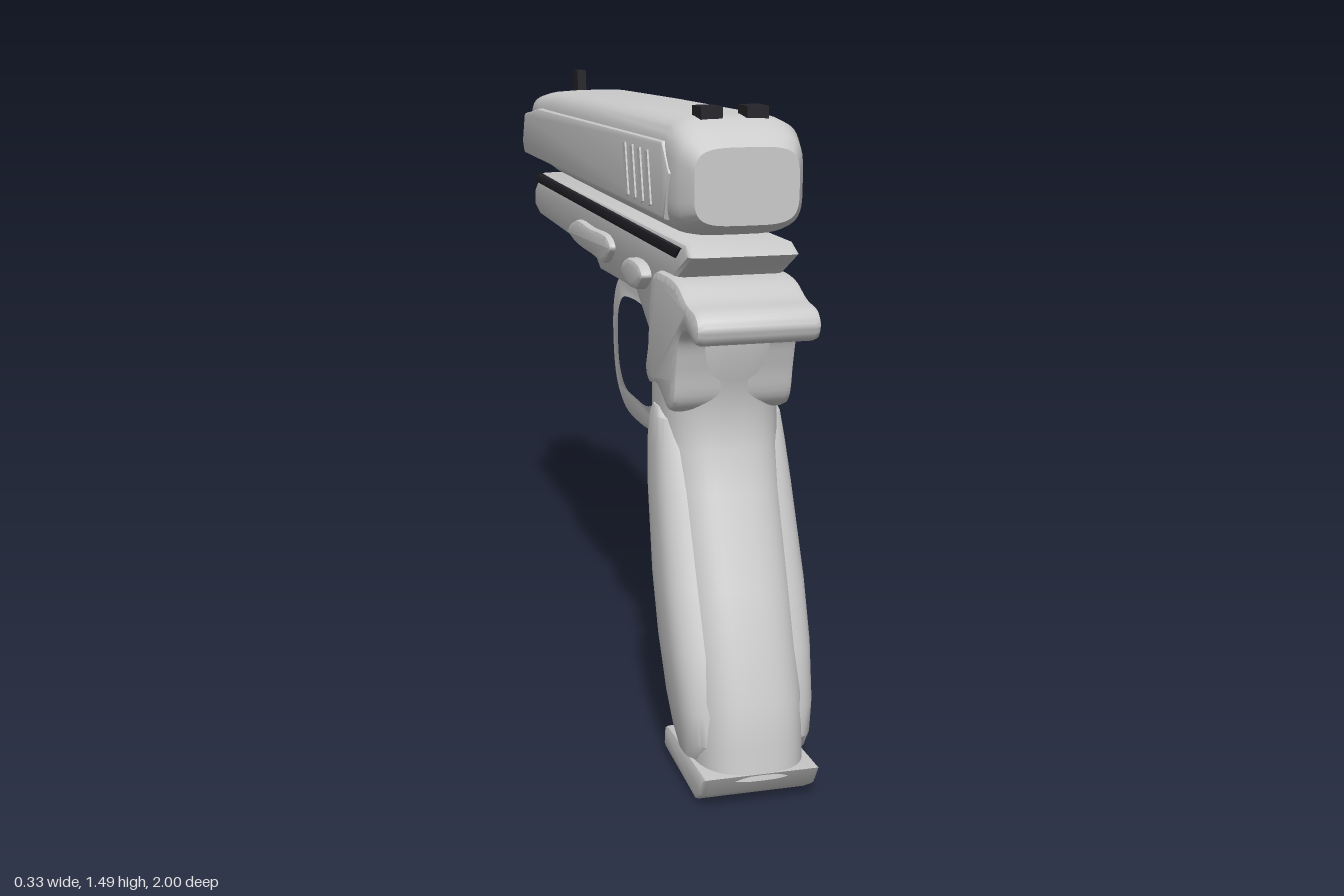
import * as THREE from 'three';
import { toCreasedNormals } from 'three/addons/utils/BufferGeometryUtils.js';

const grey = new THREE.MeshStandardMaterial({ color: 0xcccccc });
const dark = new THREE.MeshStandardMaterial({ color: 0x24242a });

const vectors = pts => pts.map(([z, y]) => new THREE.Vector2(z, y));
const smooth = (pts, n = 64) =>
  new THREE.CatmullRomCurve3(pts.map(([z, y]) => new THREE.Vector3(z, y, 0)), true)
    .getPoints(n).slice(0, n).map(p => new THREE.Vector2(p.x, p.y));

// Side outline in (z, y), extruded to a half width either side of x = 0
function plate(outline, halfWidth, bevel = 0.01, hole) {
  const shape = new THREE.Shape(outline);
  if (hole) shape.holes.push(new THREE.Path(hole));
  const geo = new THREE.ExtrudeGeometry(shape, {
    depth: 2 * (halfWidth - bevel), bevelThickness: bevel, bevelSize: bevel,
    bevelOffset: -bevel, bevelSegments: 2,
  });
  geo.translate(0, 0, bevel - halfWidth).rotateY(-Math.PI / 2);
  return toCreasedNormals(geo, 0.6);
}

// Superellipse sections [t, low, high, halfWidth]; t runs up z, or down y if upright
function loft(sections, power, upright = false) {
  const N = 48, pos = [], idx = [];
  const put = (x, v, t) => (upright ? pos.push(x, t, v) : pos.push(x, v, t));
  const bend = s => Math.sign(s) * Math.abs(s) ** (2 / power);
  for (const [t, lo, hi, w] of sections) {
    for (let j = 0; j < N; j++) {
      const a = (j / N) * Math.PI * 2;
      put(w * bend(Math.cos(a)), (lo + hi) / 2 + ((hi - lo) / 2) * bend(Math.sin(a)), t);
    }
  }
  const last = (sections.length - 1) * N, c = last + N;
  for (const [t, lo, hi] of [sections[0], sections.at(-1)]) put(0, (lo + hi) / 2, t);
  for (let j = 0; j < N; j++) {
    const k = (j + 1) % N;
    for (let r = 0; r < last; r += N) idx.push(r + j, r + k, r + N + k, r + j, r + N + k, r + N + j);
    idx.push(c, k, j, c + 1, last + j, last + k);
  }
  const geo = new THREE.BufferGeometry();
  geo.setAttribute('position', new THREE.Float32BufferAttribute(pos, 3));
  geo.setIndex(idx);
  return toCreasedNormals(geo.toNonIndexed(), 0.55);
}

// Turned part: [radius, distance forward along -z]
const turned = pts =>
  toCreasedNormals(new THREE.LatheGeometry(vectors(pts), 40).rotateX(-Math.PI / 2), 0.6);

export function createModel() {
  const model = new THREE.Group();
  const add = (name, geo, material = grey, x = 0, y = 0, z = 0) => {
    const mesh = new THREE.Mesh(geo, material);
    mesh.name = name;
    mesh.position.set(x, y, z);
    model.add(mesh);
    return mesh;
  };

  // Slide with chamfered ends and raised side panels
  add('slide', loft([
    [-0.85, 1.25, 1.405, 0.1], [-0.82, 1.235, 1.418, 0.122], [-0.7, 1.222, 1.432, 0.132],
    [-0.5, 1.212, 1.447, 0.138], [0, 1.21, 1.457, 0.141], [0.7, 1.21, 1.466, 0.146],
    [0.755, 1.215, 1.46, 0.146], [0.8, 1.227, 1.436, 0.136], [0.84, 1.245, 1.408, 0.115],
  ], 4.2));
  add('slideCollar', loft([[-0.865, 1.245, 1.405, 0.085], [-0.84, 1.24, 1.41, 0.09]], 4));
  add('slideSidePanels', plate(vectors([
    [0.73, 1.248], [0.765, 1.35], [0.71, 1.413], [-0.6, 1.39], [-0.79, 1.365],
    [-0.825, 1.28], [-0.8, 1.248],
  ]), 0.151, 0.008));
  for (const side of [-1, 1]) {
    for (let i = 0; i < 4; i++) {
      const bar = add('slideSerration', new THREE.BoxGeometry(0.012, 0.12, 0.022), grey,
        side * 0.149, 1.325, 0.42 + i * 0.065);
      bar.rotation.x = -0.25;
    }
  }

  // Sights
  add('frontSight', new THREE.BoxGeometry(0.025, 0.07, 0.065), dark, 0, 1.455, -0.722);
  for (const side of [-1, 1]) {
    add('rearSight', new THREE.BoxGeometry(0.048, 0.045, 0.065), dark, side * 0.051, 1.463, 0.718);
  }

  // Barrel and muzzle ring
  add('barrel', turned([[0, 0.82], [0.063, 0.82], [0.063, 0.945], [0, 0.945]]), dark, 0, 1.325);
  add('muzzleRing', turned([
    [0.056, 0.935], [0.08, 0.935], [0.085, 0.943], [0.085, 0.992], [0.08, 1],
    [0.06, 1], [0.056, 0.994], [0.056, 0.935],
  ]), grey, 0, 1.325);

  // Frame, dark rail and rod tip
  add('frame', plate(vectors([
    [0.84, 1.18], [0.79, 1.204], [-0.71, 1.198], [-0.8, 1.145], [-0.8, 1.09], [-0.74, 1.073],
    [-0.05, 1.06], [0.02, 1.027], [0.38, 1.035], [0.5, 0.96], [0.62, 0.96], [0.73, 1.12],
  ]), 0.122, 0.015));
  add('rail', plate(vectors([
    [0.77, 1.192], [0.73, 1.165], [-0.775, 1.168], [-0.71, 1.195],
  ]), 0.127, 0.004), dark);
  add('rodTip', turned([[0, 0.78], [0.042, 0.78], [0.042, 0.822], [0.036, 0.828], [0, 0.828]]),
    dark, 0, 1.11);
  add('frameSidePanels', plate(smooth([
    [0.195, 1.11], [0.16, 1.13], [-0.02, 1.13], [-0.19, 1.128], [-0.28, 1.09],
    [-0.21, 1.07], [0, 1.063], [0.13, 1.063],
  ]), 0.139, 0.012));
  add('sideButtons', plate(smooth([
    [0.53, 1.095], [0.5, 1.115], [0.38, 1.113], [0.34, 1.085], [0.36, 1.06], [0.48, 1.057],
  ]), 0.148, 0.012));

  // Trigger guard and trigger
  add('triggerGuard', plate(
    smooth([
      [0.455, 0.96], [0.435, 0.82], [0.4, 0.72], [0.34, 0.682], [0.2, 0.667], [0.05, 0.68],
      [-0.03, 0.74], [-0.06, 0.84], [-0.055, 0.93], [-0.02, 0.99], [0.06, 1.025],
      [0.25, 1.03], [0.42, 1.02],
    ]), 0.068, 0.012,
    smooth([
      [0.408, 0.94], [0.39, 0.82], [0.36, 0.748], [0.3, 0.722], [0.18, 0.716], [0.07, 0.724],
      [0.01, 0.77], [-0.01, 0.84], [-0.005, 0.92], [0.04, 0.968], [0.14, 0.985],
      [0.28, 0.985], [0.385, 0.98],
    ])));
  add('trigger', plate(smooth([
    [0.31, 1.0], [0.335, 0.9], [0.325, 0.845], [0.275, 0.785], [0.245, 0.795],
    [0.255, 0.825], [0.287, 0.875], [0.275, 0.925], [0.25, 1.0],
  ], 40), 0.03, 0.008));

  // Grip: [y, front z, back z, half width], from the top down
  add('grip', loft([
    [1.1, 0.52, 0.8, 0.115], [1, 0.49, 0.81, 0.13], [0.9, 0.48, 0.77, 0.134],
    [0.82, 0.48, 0.755, 0.134], [0.74, 0.488, 0.765, 0.132], [0.65, 0.505, 0.8, 0.13],
    [0.45, 0.57, 0.885, 0.13], [0.23, 0.64, 0.978, 0.128], [0.14, 0.67, 0.99, 0.126],
    [0.07, 0.692, 1, 0.122],
  ], 2.7, true));
  add('gripPanels', loft([
    [0.82, 0.58, 0.66, 0.139], [0.8, 0.55, 0.705, 0.145], [0.74, 0.54, 0.735, 0.151],
    [0.65, 0.555, 0.77, 0.157], [0.45, 0.612, 0.855, 0.163], [0.32, 0.652, 0.91, 0.161],
    [0.2, 0.692, 0.95, 0.153], [0.13, 0.73, 0.952, 0.145], [0.09, 0.78, 0.92, 0.138],
  ], 3.4, true));

  // Curved tang over the hand, running down the back of the grip
  add('beavertail', plate(smooth([
    [0.94, 1.045], [0.92, 1.075], [0.85, 1.09], [0.78, 1.118], [0.68, 1.125], [0.585, 1.11],
    [0.555, 1.04], [0.545, 0.95], [0.525, 0.89], [0.545, 0.855], [0.62, 0.86], [0.72, 0.825],
    [0.755, 0.85], [0.775, 0.93], [0.8, 1.0], [0.85, 1.025], [0.92, 1.01],
  ], 90), 0.138, 0.018));

  // Magazine base
  add('magazineBase', plate(vectors([
    [1, 0.085], [0.97, 0.035], [0.92, 0.005], [0.68, 0.02], [0.67, 0.03], [0.675, 0.07], [0.7, 0.08],
  ]), 0.13, 0.01));

  return model;
}
